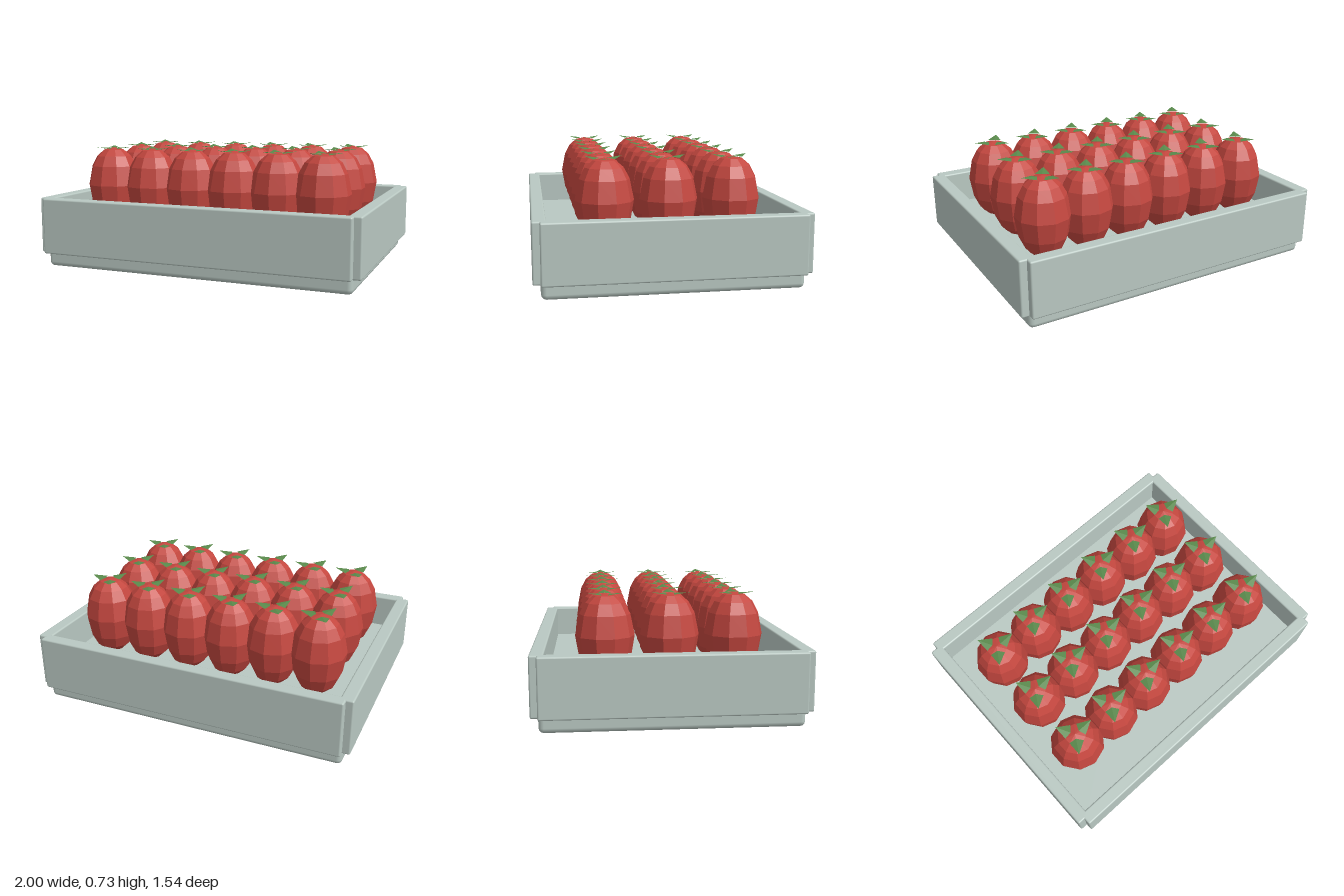
import * as THREE from 'three';
import { RoundedBoxGeometry } from 'three/addons/geometries/RoundedBoxGeometry.js';

const mat = (name, color, extra = {}) => {
  const m = new THREE.MeshStandardMaterial({ color, ...extra });
  m.name = name;
  return m;
};

// Rounded box given by its min and max corners
function board(name, [x0, y0, z0], [x1, y1, z1], radius, material) {
  const geo = new RoundedBoxGeometry(x1 - x0, y1 - y0, z1 - z0, 2, radius);
  const mesh = new THREE.Mesh(geo, material);
  mesh.position.set((x0 + x1) / 2, (y0 + y1) / 2, (z0 + z1) / 2);
  mesh.name = name;
  return mesh;
}

// Egg-shaped fruit body, ten faceted sides, relative to its widest ring
function fruitGeometry() {
  const profile = [
    [0, -0.26], [0.062, -0.243], [0.11, -0.2], [0.145, -0.125], [0.166, 0],
    [0.142, 0.12], [0.108, 0.183], [0.062, 0.222], [0, 0.236],
  ].map(([r, y]) => new THREE.Vector2(r, y));
  const geo = new THREE.LatheGeometry(profile, 10).toNonIndexed();
  geo.computeVertexNormals();
  return geo;
}

// Pointed leaf aimed along +x, creased along the middle, tip lifted
function leafGeometry() {
  const inner = [0.028, 0.233, 0], tip = [0.122, 0.241, 0];
  const left = [0.045, 0.228, -0.042], right = [0.045, 0.228, 0.042];
  const geo = new THREE.BufferGeometry();
  geo.setAttribute('position', new THREE.Float32BufferAttribute(
    [inner, tip, left, inner, right, tip].flat(), 3));
  geo.computeVertexNormals();
  return geo;
}

export function createModel() {
  const model = new THREE.Group();
  model.name = 'fruitTray';
  const trayMat = mat('pale grey green', 0xb9c8c2);
  const fruitMat = mat('berry red', 0xc4473f, { flatShading: true });
  const leafMat = mat('leaf green', 0x5a8a4c, { flatShading: true, side: THREE.DoubleSide });

  // Tray: thick base and four overlapping boards with notched corners
  const tray = new THREE.Group();
  tray.name = 'tray';
  tray.add(board('base', [-0.955, 0, -0.725], [0.955, 0.22, 0.725], 0.03, trayMat));
  for (const s of [-1, 1]) {
    const z = [s * 0.69, s * 0.768].sort((a, b) => a - b);
    const x = [s * 0.92, s * 1].sort((a, b) => a - b);
    tray.add(board(s > 0 ? 'frontBoard' : 'backBoard',
      [-0.955, 0.085, z[0]], [0.955, 0.425, z[1]], 0.01, trayMat));
    tray.add(board(s > 0 ? 'leftBoard' : 'rightBoard',
      [x[0], 0.085, -0.725], [x[1], 0.425, 0.725], 0.01, trayMat));
  }
  model.add(tray);

  // Three rows of six fruits, each with three leaves
  const bodyGeo = fruitGeometry(), leafGeo = leafGeometry();
  for (let row = 0; row < 3; row++) {
    for (let col = 0; col < 6; col++) {
      const fruit = new THREE.Group();
      fruit.name = 'fruit';
      const body = new THREE.Mesh(bodyGeo, fruitMat);
      body.name = 'fruitBody';
      fruit.add(body);
      for (let i = 0; i < 3; i++) {
        const leaf = new THREE.Mesh(leafGeo, leafMat);
        leaf.name = 'leaf';
        leaf.rotation.y = (i * Math.PI * 2) / 3;
        fruit.add(leaf);
      }
      fruit.position.set((col - 2.5) * 0.276, 0.484, (row - 1) * 0.361);
      model.add(fruit);
    }
  }
  return model;
}
